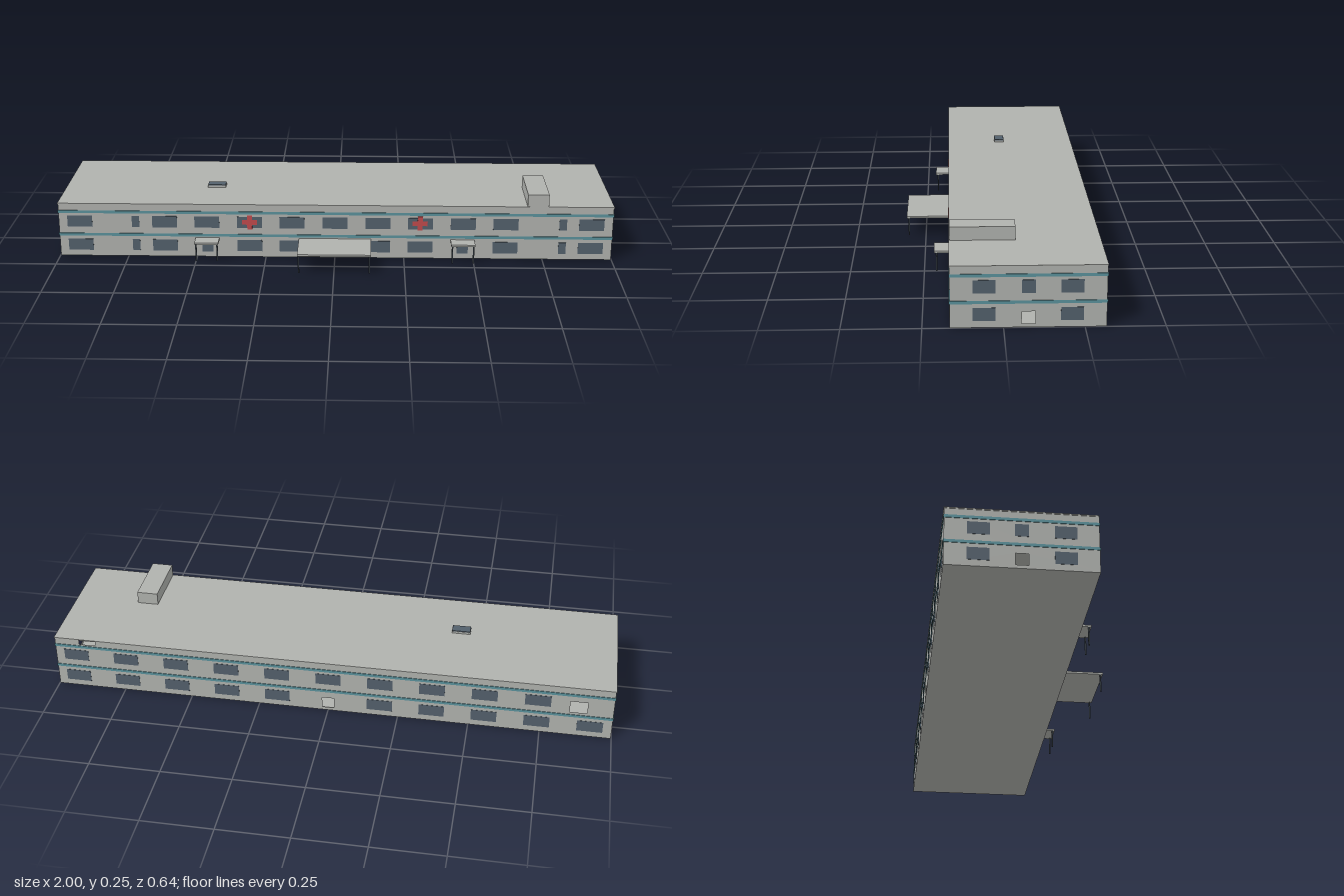
import * as THREE from 'three';

const mat = (name, color, side = THREE.FrontSide) => {
  const m = new THREE.MeshStandardMaterial({ color, side });
  m.name = name;
  return m;
};

export function createModel() {
  const wallMat = mat('wall grey', 0xb0b2ae, THREE.DoubleSide);
  const glass = mat('window slate', 0x53606c);
  const teal = mat('band teal', 0x5a919b);
  const red = mat('sign red', 0xc04a4c);
  const dark = mat('post dark', 0x3f4850);

  const model = new THREE.Group();
  model.name = 'building';
  const X = 0.998, ZF = 0.165, ZB = -0.317, H = 0.2, ZC = (ZF + ZB) / 2;

  // Box given by its minimum and maximum corners
  const box = (parent, name, m, x0, x1, y0, y1, z0, z1) => {
    const mesh = new THREE.Mesh(new THREE.BoxGeometry(x1 - x0, y1 - y0, z1 - z0), m);
    mesh.position.set((x0 + x1) / 2, (y0 + y1) / 2, (z0 + z1) / 2);
    mesh.name = name;
    parent.add(mesh);
    return mesh;
  };

  // One facade: pierced wall, bands and windows; local z points outward
  const facade = (name, width, openings, windows) => {
    const g = new THREE.Group();
    g.name = name;
    const w = width / 2;
    const shape = new THREE.Shape([[-w, 0], [w, 0], [w, H], [-w, H]].map(p => new THREE.Vector2(...p)));
    for (const [x0, x1, y0, y1] of openings) {
      shape.holes.push(new THREE.Path([[x0, y0], [x0, y1], [x1, y1], [x1, y0]].map(p => new THREE.Vector2(...p))));
    }
    const wall = new THREE.Mesh(new THREE.ShapeGeometry(shape), wallMat);
    wall.name = 'wall';
    g.add(wall);
    for (const [y0, y1] of [[0.078, 0.088], [0.165, 0.175]]) {
      box(g, 'band', teal, -w - 0.002, w + 0.002, y0, y1, 0, 0.002);
    }
    for (const [x, size, floor] of windows) {
      const y = floor ? 0.112 : 0.022;
      box(g, 'window', glass, x - size / 2, x + size / 2, y, y + 0.043, -0.001, 0.001);
    }
    model.add(g);
    return g;
  };

  // Front windows: wide ones in a regular row plus a narrow pair
  const frontWin = [];
  for (const floor of [0, 1]) {
    for (const x of [-0.922, -0.615, -0.462, -0.308, -0.155, 0, 0.155, 0.308, 0.462, 0.615, 0.922]) {
      if (floor || (x !== 0 && Math.abs(x) !== 0.462)) frontWin.push([x, 0.09, floor]);
    }
    frontWin.push([-0.72, 0.027, floor], [0.82, 0.027, floor]);
  }
  const front = facade('frontFacade', 2 * X, [[-0.021, 0.021, 0.012, 0.053]], frontWin);
  front.position.z = ZF;

  // Back windows: eleven bays, with the middle door and one upper opening left free
  const backWin = [];
  for (const floor of [0, 1]) {
    for (let i = -5; i <= 5; i++) {
      if ((floor || i !== 0) && !(floor && i === 5)) backWin.push([i * 0.1844, 0.09, floor]);
    }
  }
  const back = facade('backFacade', 2 * X, [
    [-0.021, 0.021, 0.012, 0.053], [0.848, 0.908, 0.098, 0.143], [-0.908, -0.848, 0.181, 0.197],
  ], backWin);
  back.rotation.y = Math.PI;
  back.position.z = ZB;

  // End facades share one layout, mirrored
  for (const s of [1, -1]) {
    const at = z => -s * (z - ZC);
    const wins = [[at(0.06), 0.07, 0], [at(-0.211), 0.07, 0], [at(0.06), 0.07, 1], [at(-0.211), 0.07, 1], [at(-0.077), 0.043, 1]];
    const d = at(-0.0765);
    const end = facade(s > 0 ? 'leftFacade' : 'rightFacade', ZF - ZB, [[d - 0.021, d + 0.021, 0.012, 0.052]], wins);
    end.rotation.y = s * Math.PI / 2;
    end.position.set(s * X, 0, ZC);
  }

  // Floor, roof slab and the roof structures
  box(model, 'floor', wallMat, -X, X, 0, 0.001, ZB, ZF);
  box(model, 'roof', wallMat, -1, 1, 0.198, 0.202, ZB - 0.002, ZF + 0.001);
  box(model, 'stairHouse', wallMat, 0.69, 0.766, 0.202, 0.247, -0.046, 0.164);
  box(model, 'stairHouseDoor', wallMat, 0.765, 0.768, 0.202, 0.227, -0.04, -0.013);
  box(model, 'skylightCurb', wallMat, -0.475, -0.408, 0.202, 0.209, -0.053, -0.016);
  box(model, 'skylightGlass', glass, -0.474, -0.409, 0.209, 0.212, -0.052, -0.017);

  // Canopies on two posts each
  const canopy = (name, x, half, z) => {
    const g = new THREE.Group();
    g.name = name;
    box(g, 'canopySlab', wallMat, x - half, x + half, 0.066, 0.073, ZF, z);
    for (const s of [-1, 1]) {
      const px = x + s * (half - 0.005);
      box(g, 'canopyPost', dark, px - 0.0025, px + 0.0025, 0, 0.066, z - 0.011, z - 0.006);
    }
    model.add(g);
  };
  canopy('mainCanopy', 0, 0.13, 0.319);
  for (const s of [-1, 1]) {
    const x = s * 0.461;
    canopy('sideCanopy', x, 0.043, 0.217);
    // Glazed side entrance
    box(model, 'sideDoor', wallMat, x - 0.033, x + 0.033, 0.008, 0.06, ZF, ZF + 0.001);
    box(model, 'sideDoorGlass', glass, x - 0.02, x + 0.02, 0.02, 0.052, ZF, ZF + 0.002);
    // Cross-shaped sign above
    const cx = s * 0.307;
    box(model, 'crossSignUpright', red, cx - 0.009, cx + 0.009, 0.108, 0.161, ZF, ZF + 0.003);
    for (const a of [-1, 1]) {
      const ax = cx + a * 0.018;
      box(model, 'crossSignArm', red, ax - 0.009, ax + 0.009, 0.1255, 0.1435, ZF, ZF + 0.003);
    }
  }
  return model;
}
